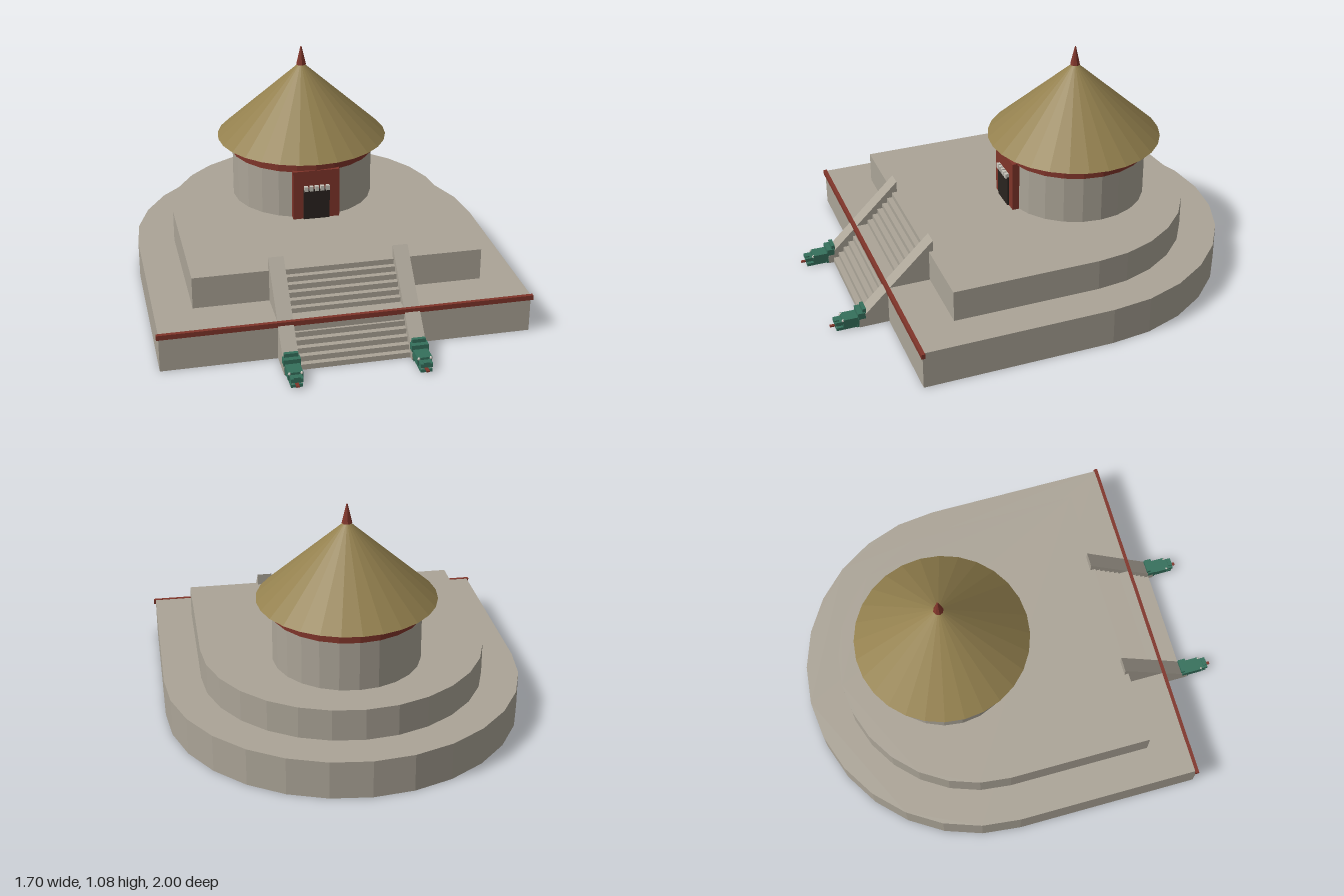
import * as THREE from 'three';

const mat = (color) => new THREE.MeshStandardMaterial({ color, flatShading: true, side: THREE.DoubleSide });

export function createModel() {
  const model = new THREE.Group();
  const stone = mat(0xaba497), red = mat(0x80352a), thatch = mat(0x93804e);
  const dark = mat(0x2a231f), green = mat(0x35705c), pale = mat(0xc9c5bb);
  const centreZ = -0.31;

  const add = (name, geometry, material, x = 0, y = 0, z = 0, parent = model) => {
    const mesh = new THREE.Mesh(geometry, material);
    mesh.name = name;
    mesh.position.set(x, y, z);
    parent.add(mesh);
    return mesh;
  };
  // box given by its ranges
  const box = (name, material, x0, x1, y0, y1, z0, z1, parent = model) =>
    add(name, new THREE.BoxGeometry(x1 - x0, y1 - y0, z1 - z0), material,
      (x0 + x1) / 2, (y0 + y1) / 2, (z0 + z1) / 2, parent);

  // terraces: straight front, round back, hollow underneath
  const terrace = (name, r, frontZ, y0, y1) => {
    const pts = [[r, frontZ]];
    for (let i = 0; i <= 14; i++) {
      const a = (i / 14) * Math.PI;
      pts.push([r * Math.cos(a), -0.16 - r * Math.sin(a)]);
    }
    pts.push([-r, frontZ]);
    const group = new THREE.Group();
    group.name = name;
    model.add(group);
    const shape = new THREE.Shape(pts.map(([x, z]) => new THREE.Vector2(x, -z)));
    add(name + 'Deck', new THREE.ShapeGeometry(shape).rotateX(-Math.PI / 2), stone, 0, y1, 0, group);
    const pos = [], index = [];
    pts.forEach(([x, z], i) => {
      pos.push(x, y0, z, x, y1, z);
      const a = 2 * i, b = 2 * ((i + 1) % pts.length);
      index.push(a, b, b + 1, a, b + 1, a + 1);
    });
    const wall = new THREE.BufferGeometry();
    wall.setAttribute('position', new THREE.Float32BufferAttribute(pos, 3));
    wall.setIndex(index);
    wall.computeVertexNormals();
    add(name + 'Wall', wall, stone, 0, 0, 0, group);
  };
  terrace('lowerTerrace', 0.84, 0.73, 0, 0.18);
  terrace('upperTerrace', 0.665, 0.53, 0.18, 0.33);
  box('terraceTrim', red, -0.85, 0.85, 0.158, 0.181, 0.72, 0.737);

  // side profile (z, y) extruded across x
  const sideExtrude = (pts, x0, x1) => {
    const shape = new THREE.Shape(pts.map(([z, y]) => new THREE.Vector2(-z, y)));
    return new THREE.ExtrudeGeometry(shape, { depth: x1 - x0, bevelEnabled: false })
      .rotateY(Math.PI / 2).translate(x0, 0, 0);
  };

  // staircase
  const steps = 13, rise = 0.33 / steps, tread = 0.335 / steps;
  const profile = [[0.51, 0], [0.845, 0]];
  for (let i = 0; i < steps; i++) {
    const z = 0.845 - i * tread;
    profile.push([z, (i + 1) * rise], [z - tread, (i + 1) * rise]);
  }
  add('staircase', sideExtrude(profile, -0.25, 0.25), stone);
  const ramp = [[0.51, 0], [0.87, 0], [0.87, 0.035], [0.51, 0.385]];

  for (const s of [-1, 1]) {
    add('balustrade', sideExtrude(ramp, s * 0.285 - 0.035, s * 0.285 + 0.035), stone);

    // carved guardian head at the foot of the balustrade
    const head = new THREE.Group();
    head.name = 'guardianHead';
    head.position.x = s * 0.285;
    model.add(head);
    box('neck', green, -0.031, 0.031, 0, 0.05, 0.845, 0.88, head);
    box('mane', green, -0.038, 0.038, 0.045, 0.075, 0.84, 0.875, head);
    box('crest', green, -0.031, 0.031, 0.07, 0.092, 0.835, 0.852, head);
    box('skull', green, -0.033, 0.033, 0.018, 0.055, 0.865, 0.945, head);
    box('upperJaw', green, -0.027, 0.027, 0.026, 0.044, 0.94, 0.98, head);
    box('lowerJaw', green, -0.026, 0.026, 0, 0.014, 0.865, 0.975, head);
    box('nose', green, -0.015, 0.015, 0.04, 0.05, 0.96, 0.98, head);
    box('tongue', red, -0.007, 0.007, 0.014, 0.02, 0.92, 1.0, head);
    for (const t of [-1, 1]) {
      add('eye', new THREE.SphereGeometry(0.007, 8, 6), pale, t * 0.027, 0.05, 0.943, head);
      add('fang', new THREE.ConeGeometry(0.004, 0.014, 6).rotateX(Math.PI), pale, t * 0.02, 0.02, 0.972, head);
    }
  }

  // round shrine
  const drum = (name, material, rTop, rBottom, y0, y1, sides) =>
    add(name, new THREE.CylinderGeometry(rTop, rBottom, y1 - y0, sides), material, 0, (y0 + y1) / 2, centreZ);
  drum('shrineWall', stone, 0.343, 0.343, 0.33, 0.625, 24);
  drum('eavesBand', red, 0.352, 0.352, 0.567, 0.615, 24);
  drum('roof', thatch, 0, 0.413, 0.628, 1.0, 28);
  drum('finial', red, 0.003, 0.024, 0.985, 1.075, 8);

  // doorway
  box('doorFrame', red, -0.112, 0.112, 0.33, 0.575, -0.02, 0.045);
  box('door', dark, -0.063, 0.063, 0.33, 0.482, 0.0, 0.053);
  for (let i = -2; i <= 2; i++) {
    box('lintelBlock', pale, i * 0.026 - 0.009, i * 0.026 + 0.009, 0.476, 0.5, 0.03, 0.062);
  }
  return model;
}
